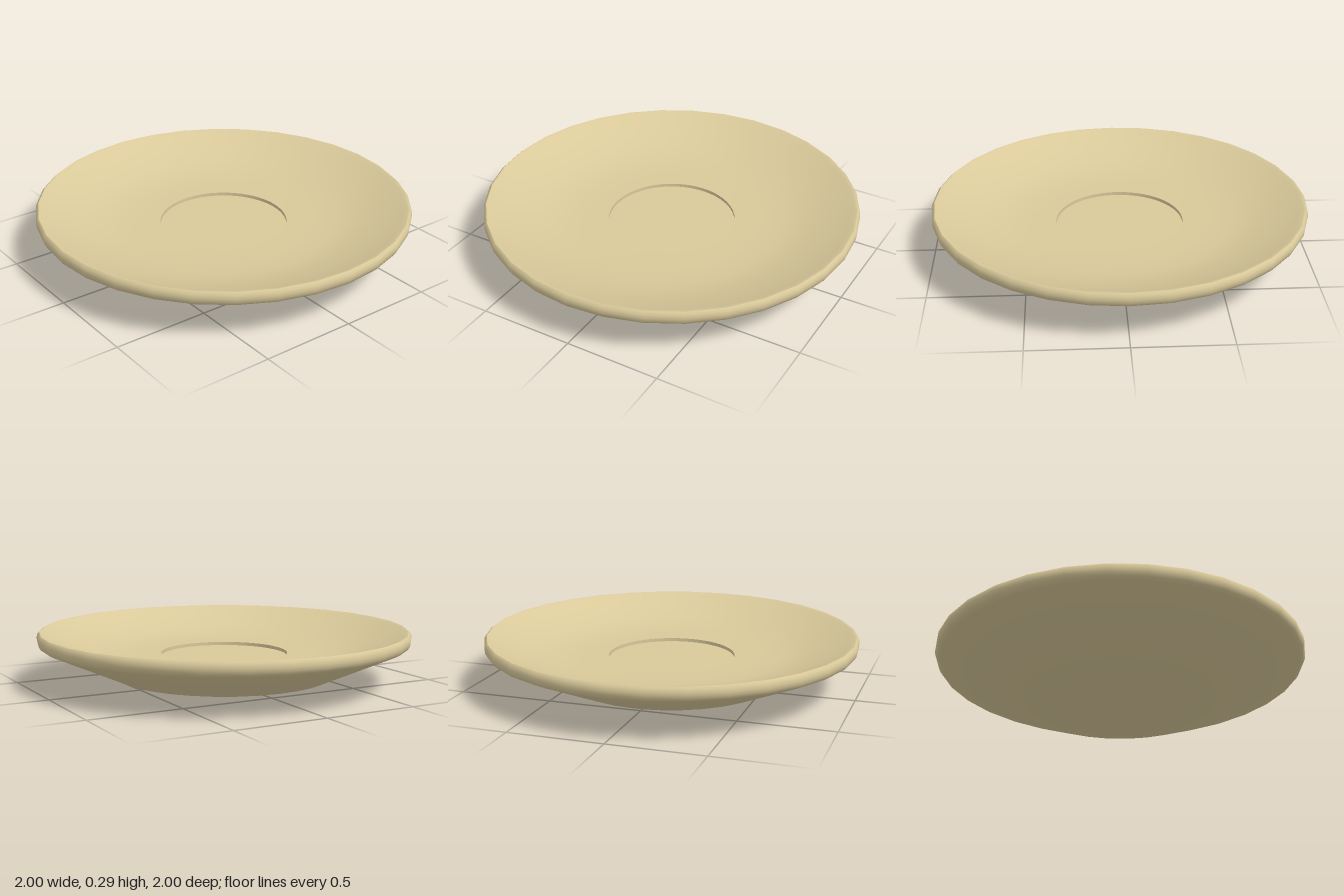
import * as THREE from 'three';

const SIDES = 32;
const WELL_RADIUS = 0.34;

export function createModel() {
  const group = new THREE.Group();
  group.name = 'saucer';
  const material = new THREE.MeshStandardMaterial({ color: 0xd9c99a });

  // Each surface is its own lathe, so the edges between them stay sharp
  function addLathe(name, profile, segments) {
    const points = profile.map(([r, y]) => new THREE.Vector2(r, y));
    const mesh = new THREE.Mesh(new THREE.LatheGeometry(points, segments), material);
    mesh.name = name;
    group.add(mesh);
    return mesh;
  }

  // Shallow foot and sloping underside
  addLathe('underside', [[0, 0], [0.26, 0.002], [0.58, 0.037], [0.97, 0.21]], SIDES);

  // Rounded outer lip
  addLathe('rim', [[0.97, 0.21], [0.988, 0.22], [0.998, 0.238], [1, 0.255], [0.998, 0.276], [0.985, 0.288]], SIDES);

  // Dished upper face, from the lip in to the cup well
  const dish = addLathe('dish', [
    [0.985, 0.288], [0.97, 0.285], [0.95, 0.274], [0.85, 0.233], [0.72, 0.19], [0.6, 0.168], [0.48, 0.161], [WELL_RADIUS, 0.16],
  ], SIDES * 3);

  // Flatten the outer rings onto the rim's polygon while the well edge stays round
  const pos = dish.geometry.attributes.position;
  const step = (Math.PI * 2) / SIDES;
  for (let i = 0; i < pos.count; i++) {
    const x = pos.getX(i), z = pos.getZ(i);
    const angle = Math.atan2(x, z) + Math.PI * 2 + 1e-6;
    const chord = Math.cos(step / 2) / Math.cos((angle % step) - step / 2);
    const blend = THREE.MathUtils.smoothstep(Math.hypot(x, z), WELL_RADIUS, 0.7);
    const scale = THREE.MathUtils.lerp(1, chord, blend);
    pos.setX(i, x * scale);
    pos.setZ(i, z * scale);
  }

  // Recess that holds the cup
  addLathe('wellWall', [[WELL_RADIUS, 0.16], [WELL_RADIUS, 0.142]], SIDES * 3);
  addLathe('wellFloor', [[WELL_RADIUS, 0.142], [0, 0.142]], SIDES * 3);

  return group;
}
